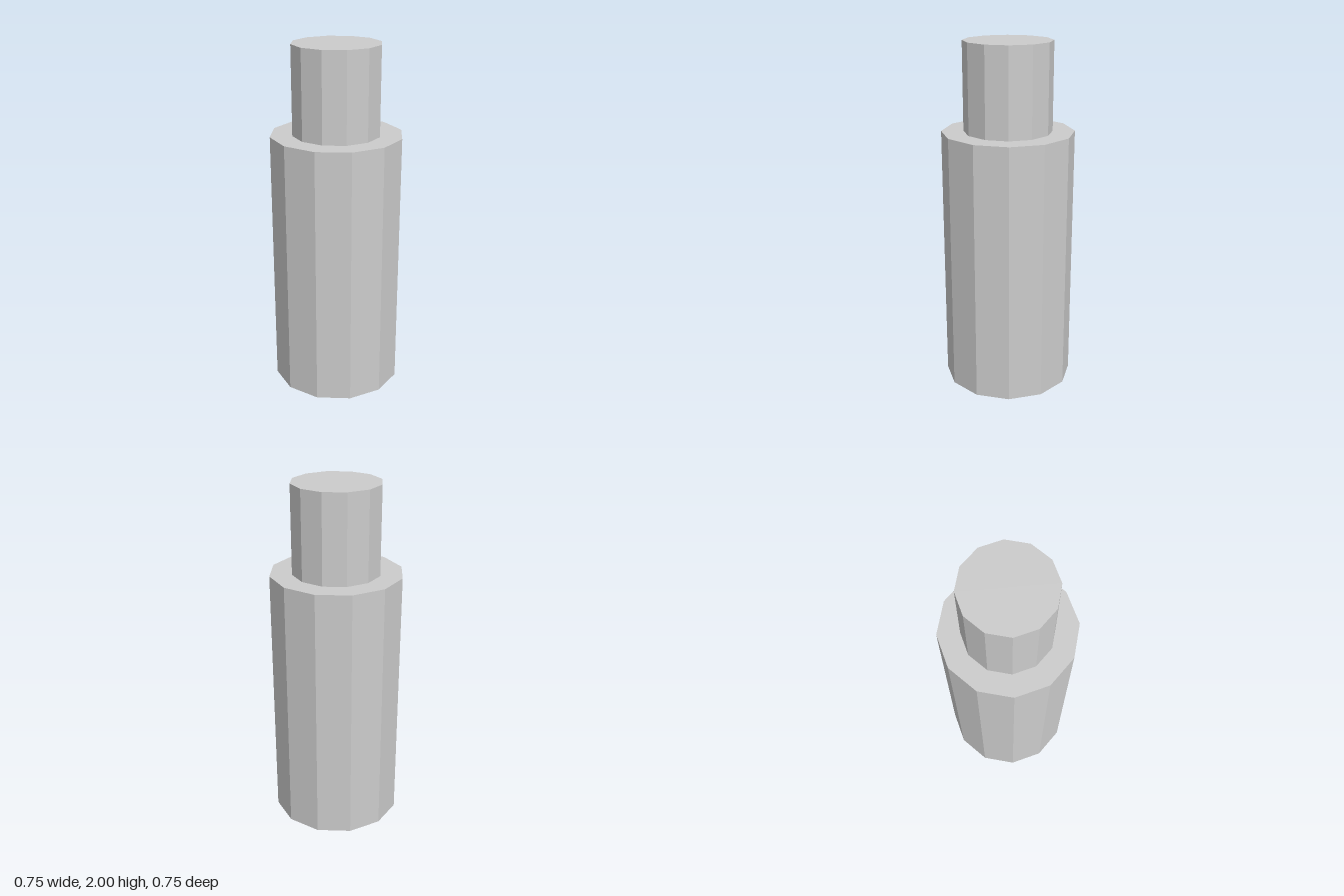
import * as THREE from 'three';

const SIDES = 12;

export function createModel() {
  const group = new THREE.Group();
  const material = new THREE.MeshStandardMaterial({ color: 0xcccccc, flatShading: true });

  // Upright faceted cylinder standing on the given height
  const addCylinder = (name, radius, height, bottom) => {
    const mesh = new THREE.Mesh(new THREE.CylinderGeometry(radius, radius, height, SIDES), material);
    mesh.name = name;
    mesh.position.y = bottom + height / 2;
    group.add(mesh);
  };

  addCylinder('body', 0.375, 1.5, 0); // wide lower body
  addCylinder('neck', 0.25, 0.5, 1.5); // narrower top

  return group;
}
